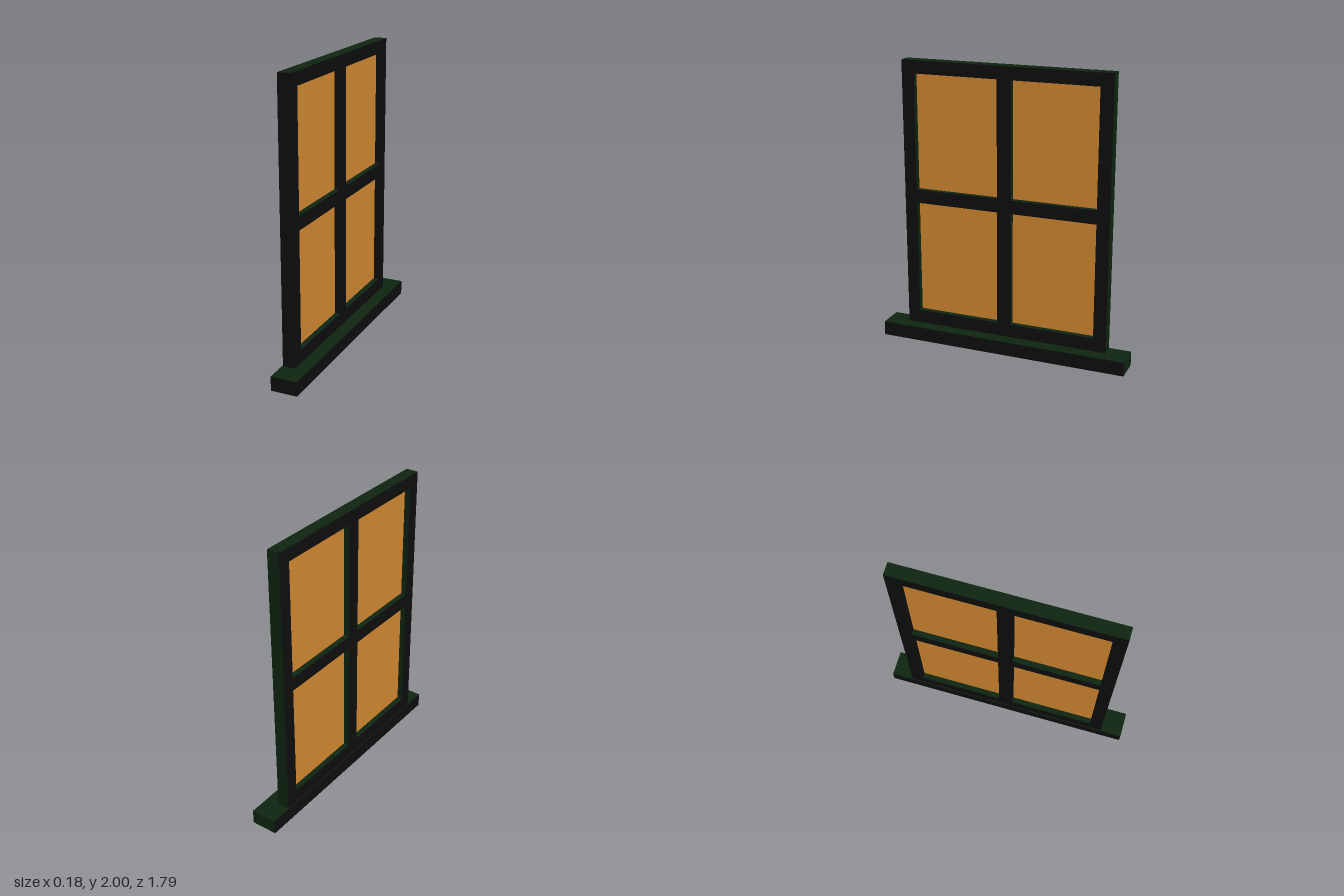
import * as THREE from 'three';

const mat = (name, hex) => {
  const m = new THREE.MeshStandardMaterial({ color: hex });
  m.name = name;
  return m;
};

export function createModel() {
  const black = mat('black', 0x0d0d0d);
  const green = mat('darkGreen', 0x0d2410);
  const amber = mat('amberGlass', 0xcc842e);
  // top and back (-z) faces are green, the rest black
  const painted = [black, black, green, black, black, green];

  const group = new THREE.Group();
  group.name = 'window';

  // box given by its [min, max] range along each axis
  function box(name, [x0, x1], [y0, y1], [z0, z1], material = painted) {
    const mesh = new THREE.Mesh(new THREE.BoxGeometry(x1 - x0, y1 - y0, z1 - z0), material);
    mesh.position.set((x0 + x1) / 2, (y0 + y1) / 2, (z0 + z1) / 2);
    mesh.name = name;
    group.add(mesh);
  }

  const depth = [-0.086, 0];
  const outer = 0.74, inner = 0.65, half = 0.05;
  const rows = [[0.195, 1.005], [1.1, 1.91]];
  const columns = [[-inner, -half], [half, inner]];

  box('sill', [-0.092, 0.092], [0, 0.1], [-0.895, 0.895]);

  // outer frame
  box('frontStile', depth, [0.1, 2], [inner, outer]);
  box('backStile', depth, [0.1, 2], [-outer, -inner]);
  box('bottomRail', depth, [0.1, rows[0][0]], [-inner, inner]);
  box('topRail', depth, [rows[1][1], 2], [-inner, inner]);

  // glazing bars
  box('uprightBar', depth, [rows[0][0], rows[1][1]], [-half, half]);
  for (const column of columns) box('crossBar', depth, [rows[0][1], rows[1][0]], column);

  // glass panes, set midway in the frame
  for (const row of rows)
    for (const column of columns) box('pane', [-0.047, -0.039], row, column, amber);

  return group;
}
